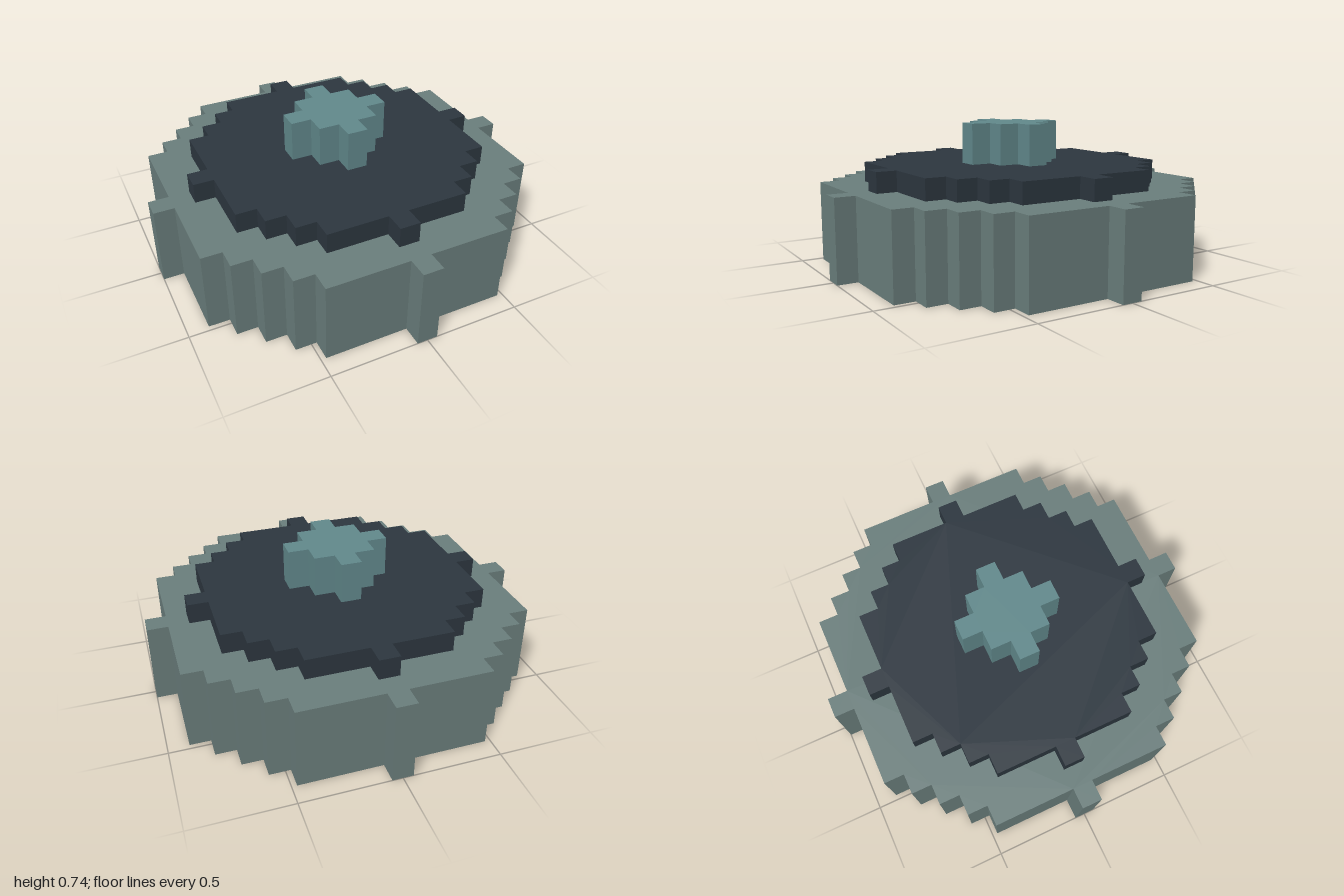
import * as THREE from 'three';

const UNIT = 2 / 19; // one block; the base is 19 blocks across

// Outline of a disc of whole blocks with the given radius (in blocks)
function blockDiscShape(r) {
  const halfWidth = (j) => Math.floor(Math.sqrt(r * r - j * j)) + 0.5;
  const right = [];
  for (let j = -r; j <= r; j++) {
    const w = halfWidth(j);
    if (j === -r || w !== halfWidth(j - 1)) right.push([w, j - 0.5]);
    if (j === r || w !== halfWidth(j + 1)) right.push([w, j + 0.5]);
  }
  const left = right.map(([x, y]) => [-x, y]).reverse();
  return new THREE.Shape(
    [...right, ...left].map(([x, y]) => new THREE.Vector2(x * UNIT, y * UNIT))
  );
}

// A stepped disc standing between two block heights
function blockDisc(name, radius, bottom, top, color) {
  const geometry = new THREE.ExtrudeGeometry(blockDiscShape(radius), {
    depth: (top - bottom) * UNIT,
    bevelEnabled: false,
  });
  geometry.rotateX(-Math.PI / 2);
  const material = new THREE.MeshStandardMaterial({ color });
  const mesh = new THREE.Mesh(geometry, material);
  mesh.name = name;
  mesh.position.y = bottom * UNIT;
  return mesh;
}

export function createModel() {
  const model = new THREE.Group();
  model.name = 'steppedDisc';
  model.add(
    blockDisc('base', 9, 0, 4, 0x6b7f7d),
    blockDisc('plate', 7, 4, 5, 0x2d3740),
    blockDisc('knob', 2, 5, 7, 0x628a8d)
  );
  return model;
}
